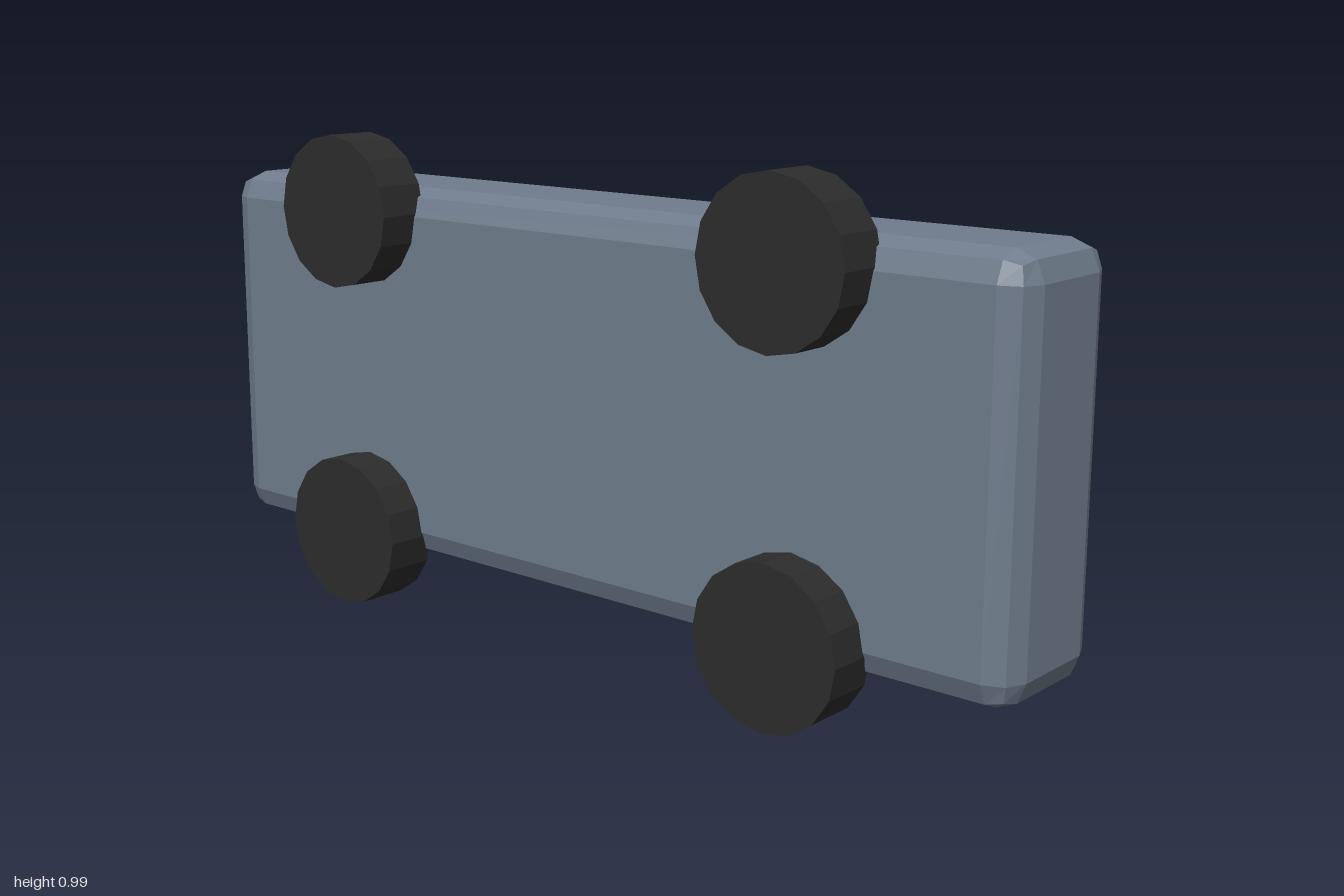
import * as THREE from 'three';
import { RoundedBoxGeometry } from 'three/addons/geometries/RoundedBoxGeometry.js';

const paint = (name, color) => new THREE.MeshStandardMaterial({ name, color, flatShading: true });

// Bevelled box given by its min and max on each axis
function bevelBox(name, [x0, x1], [y0, y1], [z0, z1], bevel, material) {
  const geometry = new RoundedBoxGeometry(x1 - x0, y1 - y0, z1 - z0, 1, bevel);
  const mesh = new THREE.Mesh(geometry, material);
  mesh.name = name;
  mesh.position.set((x0 + x1) / 2, (y0 + y1) / 2, (z0 + z1) / 2);
  return mesh;
}

export function createModel() {
  const car = new THREE.Group();
  car.name = 'car';
  const bodyPaint = paint('slate body', 0x6f7c8c);
  const cabinPaint = paint('dark blue cabin', 0x3b5060);
  const rubber = paint('black rubber', 0x2c2c2c);

  // Body with a slightly smaller deck behind it
  car.add(bevelBox('body', [-1, 1], [0.11, 0.885], [-0.105, 0.185], 0.055, bodyPaint));
  car.add(bevelBox('deck', [-0.985, 0.985], [0.117, 0.878], [-0.126, 0.06], 0.055, bodyPaint));

  // Cabin, set a little towards -x
  car.add(bevelBox('cabin', [-0.51, 0.405], [0.181, 0.812], [-0.267, -0.05], 0.05, cabinPaint));

  // Four wheels with their axles along z
  const wheelShape = new THREE.CylinderGeometry(0.157, 0.157, 0.107, 16).rotateX(Math.PI / 2);
  for (const x of [-0.557, 0.557]) {
    for (const y of [0.157, 0.836]) {
      const wheel = new THREE.Mesh(wheelShape, rubber);
      wheel.name = 'wheel';
      wheel.position.set(x, y, 0.2145);
      car.add(wheel);
    }
  }
  return car;
}
